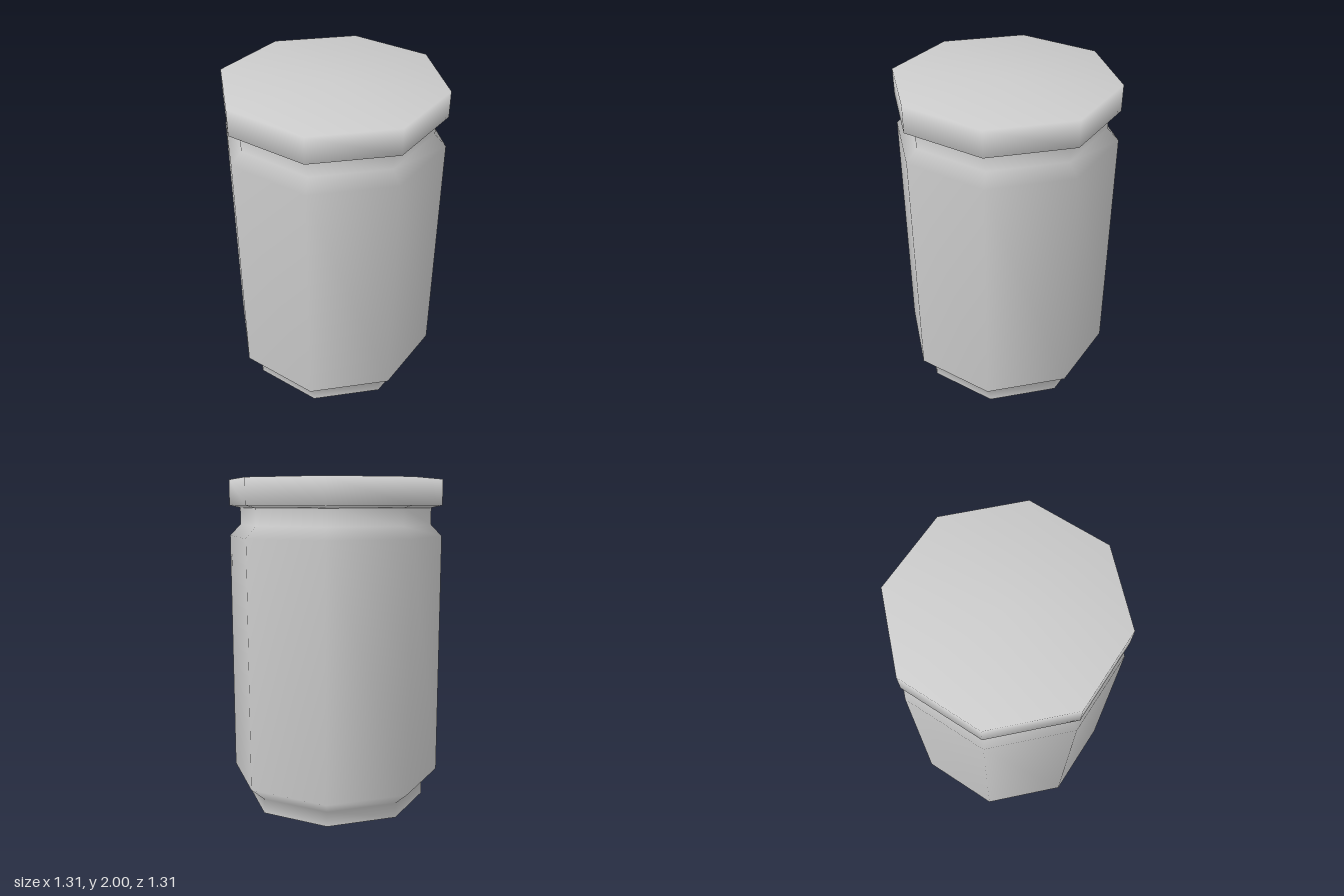
import * as THREE from 'three';

const SIDES = 8;

// Revolve a [radius, height] profile into an eight-sided, smoothly shaded shell.
function turned(name, profile, material) {
  const points = profile.map(([r, y]) => new THREE.Vector2(r, y));
  const mesh = new THREE.Mesh(new THREE.LatheGeometry(points, SIDES), material);
  mesh.name = name;
  return mesh;
}

export function createModel() {
  const group = new THREE.Group();
  group.name = 'jar';
  const grey = new THREE.MeshStandardMaterial({ color: 0xcccccc, side: THREE.DoubleSide });

  // Flat base
  group.add(turned('jarBase', [[0, 0], [0.563, 0]], grey));

  // Wall: foot, lower bevel, straight side, shoulder and neck
  group.add(turned('jarBody', [
    [0.563, 0], [0.563, 0.09], [0.655, 0.17],
    [0.655, 1.66], [0.588, 1.73], [0.588, 1.83],
  ], grey));

  // Lid: slightly sloped underside, upright rim and flat top
  group.add(turned('lid', [
    [0, 1.83], [0.588, 1.83], [0.655, 1.845], [0.655, 2], [0, 2],
  ], grey));

  return group;
}
